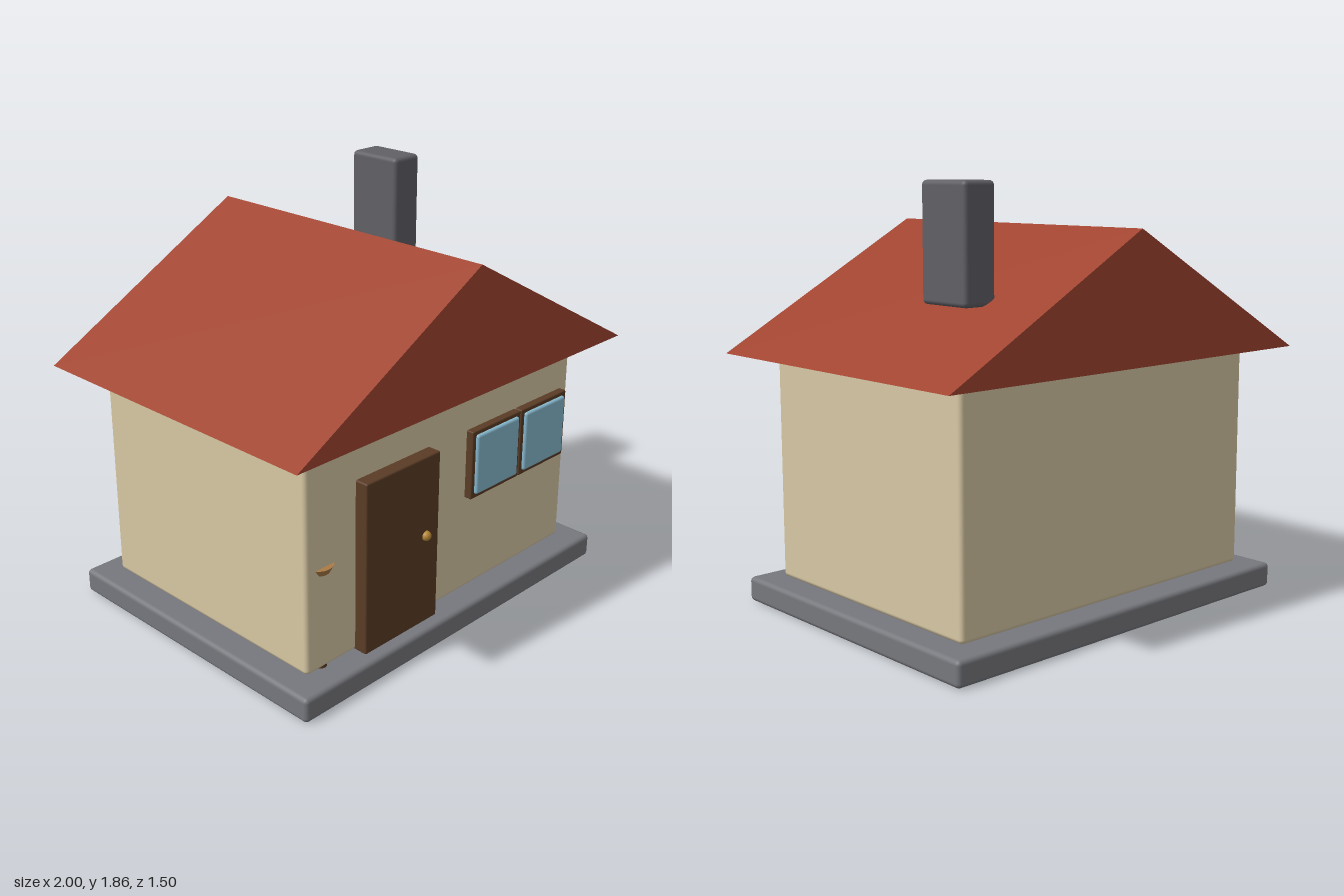
import * as THREE from 'three';
import { RoundedBoxGeometry } from 'three/addons/geometries/RoundedBoxGeometry.js';

const mat = (color) => new THREE.MeshStandardMaterial({ color });

export function createModel() {
  const house = new THREE.Group();
  house.name = 'house';
  const stone = mat(0x77787d), plaster = mat(0xd8c8a4), tile = mat(0xa04430);
  const wood = mat(0x5a3c26), glass = mat(0x87b9cf), brass = mat(0xb58636);
  const lightWood = mat(0xa97a45), chimneyGrey = mat(0x606066);

  const add = (name, geometry, material, x = 0, y = 0, z = 0) => {
    const mesh = new THREE.Mesh(geometry, material);
    mesh.name = name;
    mesh.position.set(x, y, z);
    house.add(mesh);
    return mesh;
  };

  // Rounded box given by its extents on each axis
  const block = (name, material, [x0, x1], [y0, y1], [z0, z1], radius) =>
    add(name, new RoundedBoxGeometry(x1 - x0, y1 - y0, z1 - z0, 3, radius), material,
      (x0 + x1) / 2, (y0 + y1) / 2, (z0 + z1) / 2);

  // Foundation, walls and chimney
  block('foundation', stone, [-0.94, 0.94], [0, 0.11], [-0.72, 0.72], 0.02);
  block('walls', plaster, [-0.83, 0.83], [0.115, 1.115], [-0.61, 0.61], 0.02);
  block('chimney', chimneyGrey, [0.475, 0.635], [1.37, 1.86], [-0.415, -0.145], 0.02);

  // Gabled roof: solid triangular prism along z
  const gable = new THREE.Shape([
    new THREE.Vector2(-1, 1.115),
    new THREE.Vector2(1, 1.115),
    new THREE.Vector2(0, 1.67),
  ]);
  add('roof', new THREE.ExtrudeGeometry(gable, { depth: 1.5, bevelEnabled: false }), tile, 0, 0, -0.75);

  // Beam under the front overhang
  block('frontBeam', lightWood, [-0.33, 0.33], [1.075, 1.2], [0.65, 0.69], 0.005);

  // Door with knob
  block('door', wood, [-0.555, -0.12], [0.115, 0.89], [0.59, 0.67], 0.008);
  add('doorKnob', new THREE.SphereGeometry(0.022, 20, 14), brass, -0.2, 0.53, 0.672);

  // Pair of windows: frame with a raised pane
  for (const x of [0.28, 0.61]) {
    block('windowFrame', wood, [x - 0.162, x + 0.162], [0.568, 0.885], [0.59, 0.645], 0.006);
    block('windowPane', glass, [x - 0.142, x + 0.142], [0.588, 0.867], [0.61, 0.659], 0.012);
  }

  // Small shelf left of the door, and the post end beneath the wall
  add('wallShelf', new THREE.CylinderGeometry(0.058, 0.04, 0.03, 16), lightWood, -0.727, 0.56, 0.59)
    .scale.z = 0.8;
  add('wallPost', new THREE.CylinderGeometry(0.028, 0.028, 0.06, 12), wood, -0.727, 0.1, 0.58);

  return house;
}
